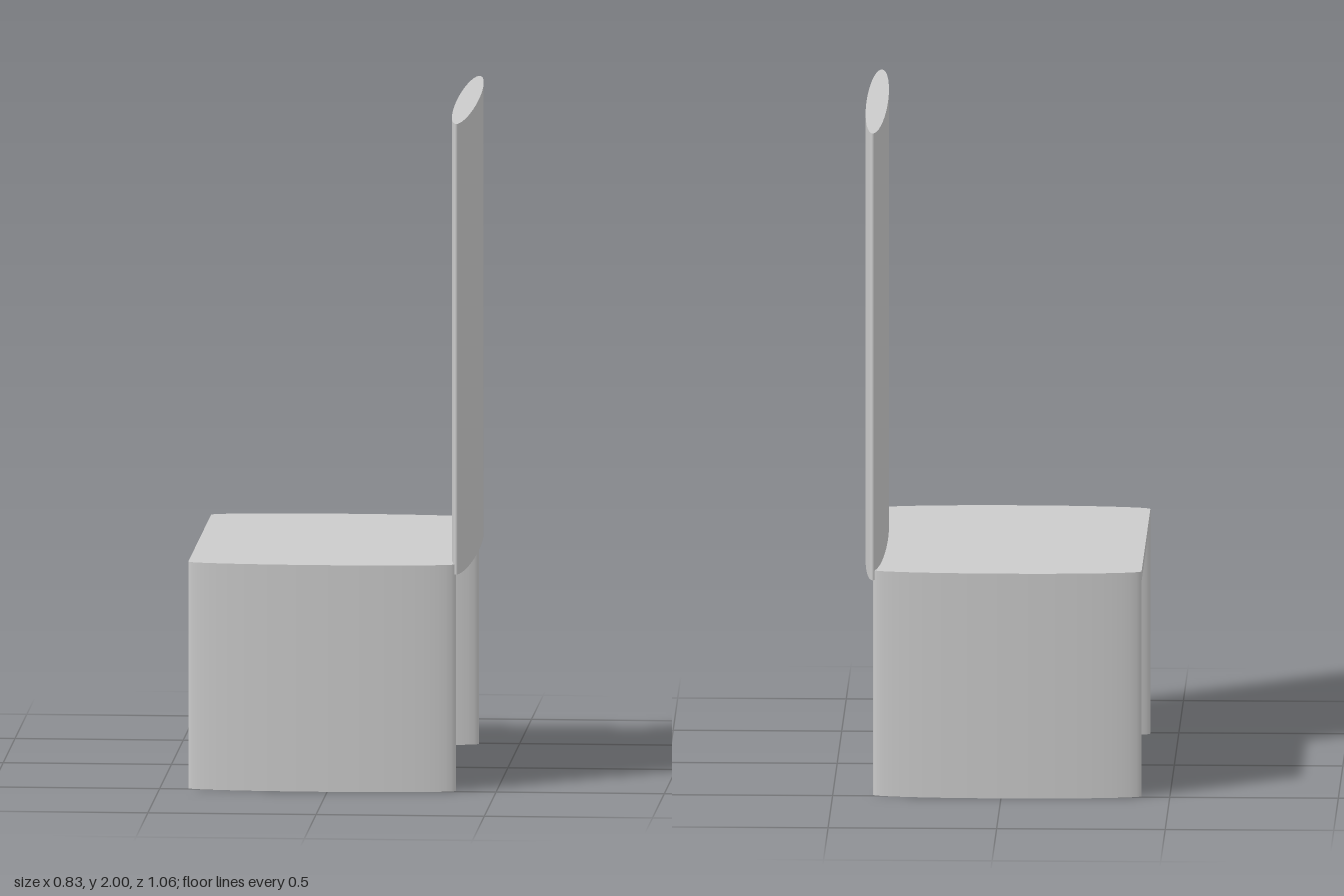
import * as THREE from 'three';

const material = new THREE.MeshStandardMaterial({ color: 0xcccccc });

// Upright slab with an elliptical cross-section
function ellipticSlab(name, radiusX, radiusZ, height, x, bottom, z) {
  const geometry = new THREE.CylinderGeometry(1, 1, height, 48);
  geometry.scale(radiusX, 1, radiusZ);
  const mesh = new THREE.Mesh(geometry, material);
  mesh.name = name;
  mesh.position.set(x, bottom + height / 2, z);
  return mesh;
}

export function createModel() {
  const chair = new THREE.Group();
  chair.name = 'chair';

  // Thin seat board, flush with the tops of the side panels
  const seat = new THREE.Mesh(new THREE.BoxGeometry(0.796, 0.03, 0.97), material);
  seat.name = 'seat';
  seat.position.set(-0.018, 0.664, 0);
  chair.add(seat);

  // Lens-shaped side panels that serve as legs
  for (const side of [-1, 1]) {
    const name = side > 0 ? 'frontSidePanel' : 'rearSidePanel';
    chair.add(ellipticSlab(name, 0.398, 0.046, 0.679, -0.018, 0, side * 0.485));
  }

  // Tall lens-shaped backrest along the +x edge of the seat
  chair.add(ellipticSlab('backrest', 0.032, 0.497, 1.35, 0.381, 0.65, 0));

  return chair;
}
